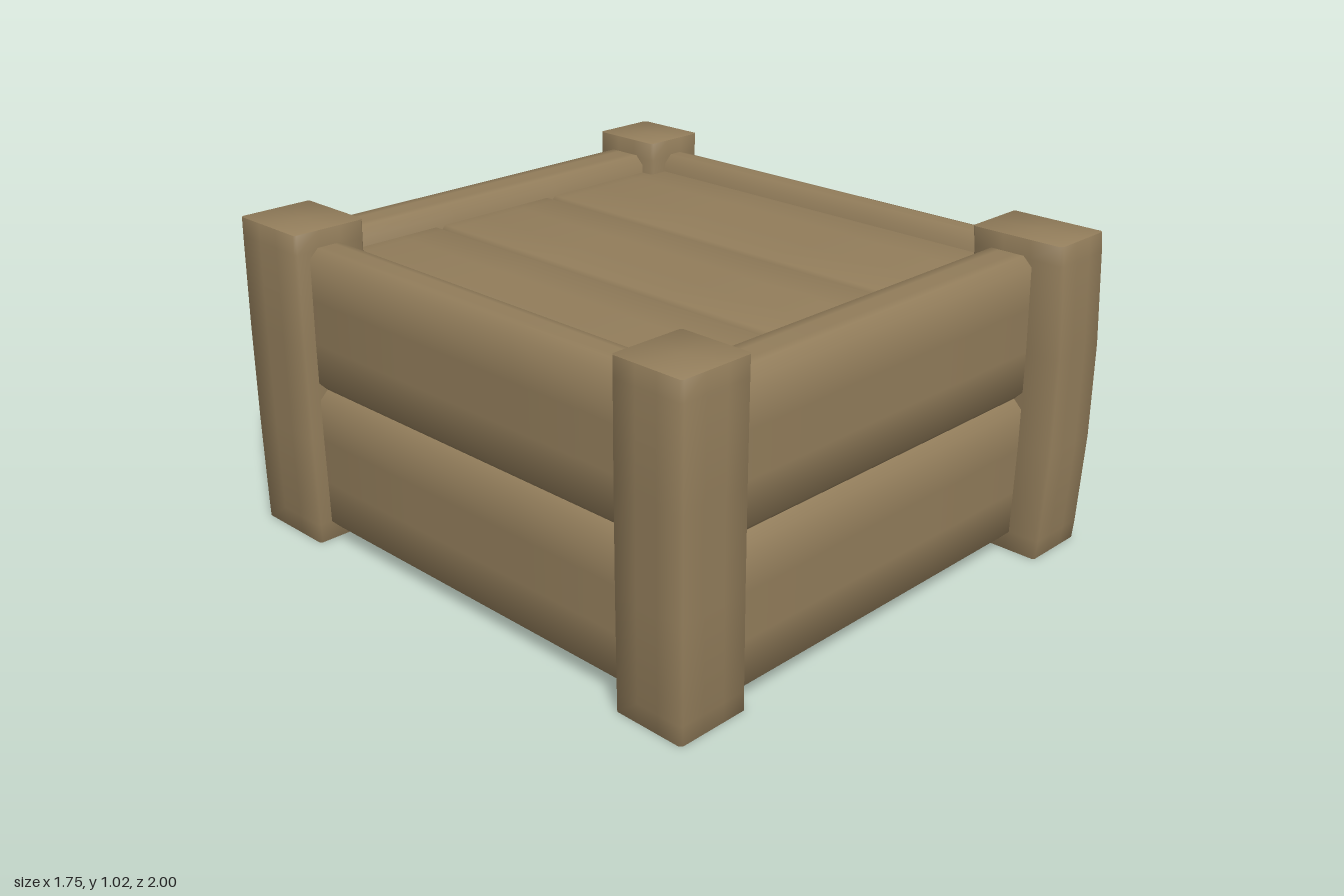
import * as THREE from 'three';

// Softened beam along local y: chamfered rectangular section, pillowed normals, optional bow of its middle
function beamGeometry(w, len, d, { chamfer = 0.03, bowX = 0, bowZ = 0, tilt = 0.55 } = {}) {
  const pos = [], nor = [], idx = [];
  const rings = [[-0.5, -0.35, 0], [-0.44, -0.1, 0.25], [-0.15, 0, 0.9],
    [0.15, 0, 0.9], [0.44, 0.1, 0.25], [0.5, 0.35, 0]];
  const dirs = [[1, 0], [0, 1], [-1, 0], [0, -1]];

  const ringPoints = (f, bow) => {
    const pts = [];
    dirs.forEach(([nx, nz], k) => {
      const [tx, tz] = dirs[(k + 1) % 4];
      const hn = (nx ? w : d) / 2, ht = (nx ? d : w) / 2;
      [[-(ht - chamfer), -tilt], [-0.3 * ht, 0], [0.3 * ht, 0], [ht - chamfer, tilt]].forEach(([t, a]) => {
        const c = Math.cos(a), s = Math.sin(a);
        pts.push({
          p: [nx * hn + tx * t + bowX * bow, f * len, nz * hn + tz * t + bowZ * bow],
          n: [nx * c + tx * s, nz * c + tz * s],
        });
      });
    });
    return pts;
  };

  const N = 16;
  rings.forEach(([f, ny, bow]) => ringPoints(f, bow).forEach(({ p, n }) => {
    const v = new THREE.Vector3(n[0], ny, n[1]).normalize();
    pos.push(...p);
    nor.push(v.x, v.y, v.z);
  }));
  for (let r = 0; r < rings.length - 1; r++) {
    for (let i = 0; i < N; i++) {
      const a = r * N + i, b = r * N + (i + 1) % N;
      idx.push(a, a + N, b, b, a + N, b + N);
    }
  }
  // End caps
  for (const s of [-1, 1]) {
    const c = pos.length / 3;
    pos.push(0, s * len / 2, 0);
    nor.push(0, s, 0);
    ringPoints(s * 0.5, 0).forEach(({ p }) => {
      const v = new THREE.Vector3(p[0] / w * 0.7, s, p[2] / d * 0.7).normalize();
      pos.push(...p);
      nor.push(v.x, v.y, v.z);
    });
    for (let i = 0; i < N; i++) {
      const a = c + 1 + i, b = c + 1 + (i + 1) % N;
      if (s > 0) idx.push(c, b, a);
      else idx.push(c, a, b);
    }
  }
  const g = new THREE.BufferGeometry();
  g.setAttribute('position', new THREE.Float32BufferAttribute(pos, 3));
  g.setAttribute('normal', new THREE.Float32BufferAttribute(nor, 3));
  g.setIndex(idx);
  return g;
}

export function createModel() {
  const model = new THREE.Group();
  model.name = 'woodenCrate';
  const wood = new THREE.MeshStandardMaterial({ color: 0x917c5a });
  wood.name = 'wood';

  // Beam filling the box [x0,x1] x [y0,y1] x [z0,z1], running along the given axis
  const beam = (name, axis, [x0, x1], [y0, y1], [z0, z1], options) => {
    const w = x1 - x0, h = y1 - y0, d = z1 - z0;
    const size = { x: [h, w, d], y: [w, h, d], z: [w, d, h] }[axis];
    const mesh = new THREE.Mesh(beamGeometry(...size, options), wood);
    mesh.name = name;
    mesh.position.set((x0 + x1) / 2, (y0 + y1) / 2, (z0 + z1) / 2);
    if (axis === 'x') mesh.rotation.z = -Math.PI / 2;
    if (axis === 'z') mesh.rotation.x = Math.PI / 2;
    model.add(mesh);
  };

  // Corner posts, each a little different and bowed outwards
  const posts = [
    ['frontRightPost', [-0.875, -0.625], [0.66, 0.905], -0.003, 0],
    ['frontLeftPost', [0.63, 0.855], [0.67, 0.985], 0.016, 0.015],
    ['backRightPost', [-0.875, -0.625], [-0.99, -0.70], 0, -0.01],
    ['backLeftPost', [0.64, 0.87], [-0.98, -0.715], 0.003, -0.008],
  ];
  for (const [name, x, z, bowX, bowZ] of posts) {
    beam(name, 'y', x, [0, 1.025], z, { chamfer: 0.008, bowX, bowZ, tilt: 0.5 });
  }

  // Two stacked planks on each wall, tenoned into the posts
  for (const [level, y] of [['Lower', [0.03, 0.508]], ['Upper', [0.505, 0.97]]]) {
    beam(`front${level}Plank`, 'x', [-0.76, 0.76], y, [0.71, 0.885]);
    beam(`back${level}Plank`, 'x', [-0.76, 0.76], y, [-0.945, -0.765]);
    beam(`right${level}Plank`, 'z', [-0.825, -0.685], y, [-0.84, 0.79]);
    beam(`left${level}Plank`, 'z', [0.708, 0.82], y, [-0.84, 0.79]);
  }

  // Recessed lid and floor boards running front to back
  const seams = [-0.75, -0.28, 0.2, 0.77];
  for (const [name, y] of [['lid', [0.8, 0.912]], ['floor', [0.09, 0.2]]]) {
    for (let i = 0; i < seams.length - 1; i++) {
      beam(`${name}Board${i + 1}`, 'z', [seams[i] - 0.002, seams[i + 1] + 0.002], y, [-0.82, 0.78],
        { chamfer: 0.02, tilt: 0.3 });
    }
  }

  return model;
}
